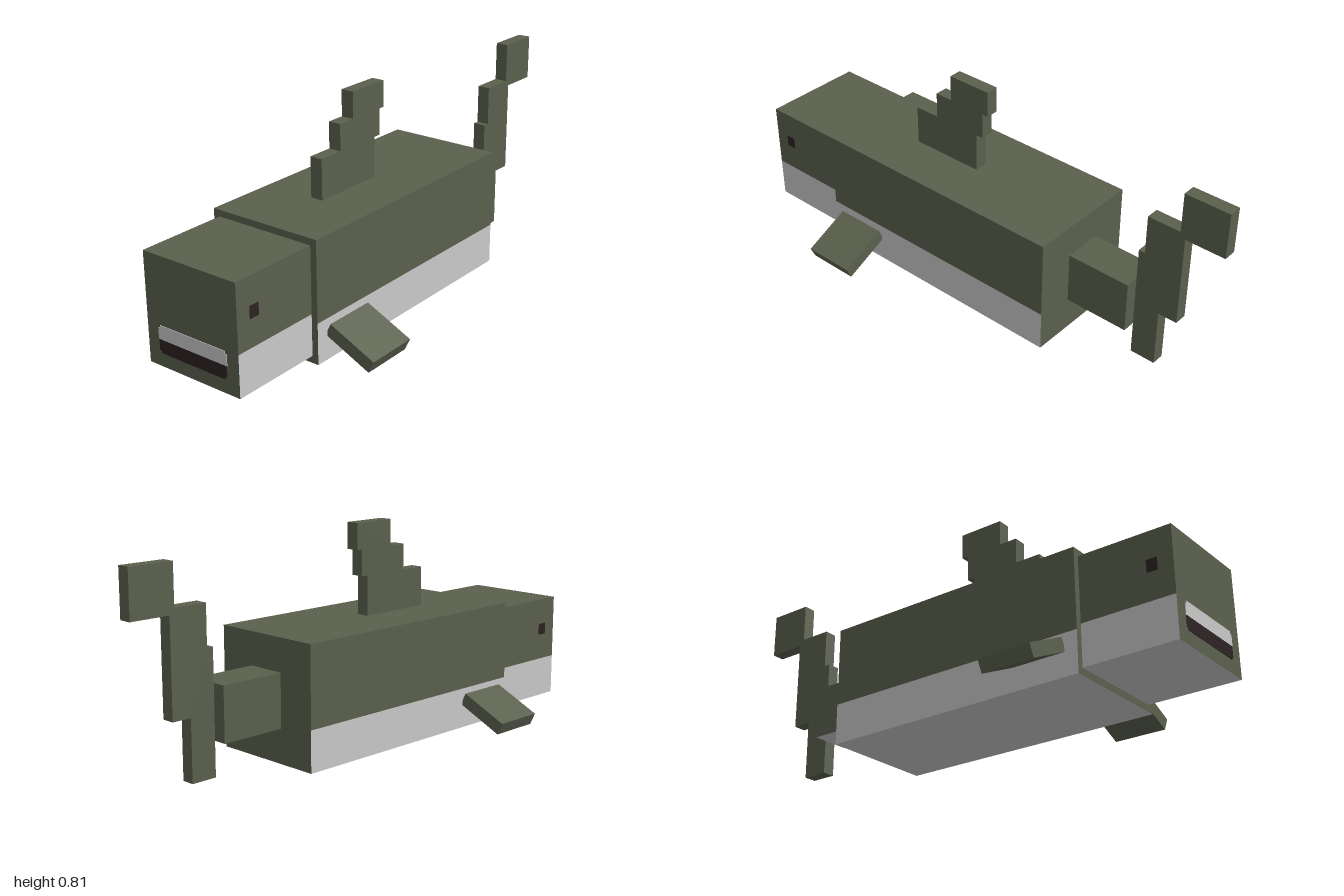
import * as THREE from 'three';

const mat = (name, color) => {
  const m = new THREE.MeshStandardMaterial({ color });
  m.name = name;
  return m;
};

export function createModel() {
  const olive = mat('olive skin', 0x5b604d);
  const pale = mat('pale belly', 0xcacaca);
  const dark = mat('dark mouth and eyes', 0x2d2223);
  const model = new THREE.Group();
  model.name = 'blockFish';

  const add = (name, geometry, material, parent = model) => {
    const mesh = new THREE.Mesh(geometry, material);
    mesh.name = name;
    parent.add(mesh);
    return mesh;
  };

  // Box centred on x = 0, given by its half width and its y and z ranges
  const block = (name, halfX, y0, y1, z0, z1, material, parent) => {
    const mesh = add(name, new THREE.BoxGeometry(halfX * 2, y1 - y0, z1 - z0), material, parent);
    mesh.position.set(0, (y0 + y1) / 2, (z0 + z1) / 2);
    return mesh;
  };

  // Face order: +x, -x, top, bottom, front, back
  const bellyFaces = [pale, pale, pale, pale, olive, olive];
  const stubFaces = [olive, olive, olive, pale, olive, olive];

  // Body and head, each an olive back over a pale belly
  const twoTone = (name, halfX, y0, ySplit, y1, z0, z1) => {
    const group = new THREE.Group();
    group.name = name;
    model.add(group);
    block(name + 'Back', halfX, ySplit, y1, z0, z1, olive, group);
    block(name + 'Belly', halfX, y0, ySplit, z0, z1, bellyFaces, group);
  };
  twoTone('body', 0.228, 0, 0.155, 0.457, -0.415, 0.645);
  twoTone('head', 0.203, 0.027, 0.183, 0.432, 0.645, 0.998);
  block('tailStub', 0.076, 0.13, 0.332, -0.67, -0.415, stubFaces);

  // Stepped upright fins, outlined as [z, y] and extruded across x
  const uprightFin = (name, outline) => {
    const shape = new THREE.Shape(outline.map(([z, y]) => new THREE.Vector2(-z, y)));
    const geometry = new THREE.ExtrudeGeometry(shape, { depth: 0.05, bevelEnabled: false });
    geometry.translate(0, 0, -0.025).rotateY(Math.PI / 2);
    add(name, geometry, olive);
  };
  uprightFin('dorsalFin', [
    [0.368, 0.45], [0.07, 0.45], [0.07, 0.61], [0.04, 0.61], [0.04, 0.71], [0.015, 0.71],
    [0.015, 0.81], [0.193, 0.81], [0.193, 0.71], [0.265, 0.71], [0.265, 0.61], [0.368, 0.61],
  ]);
  uprightFin('tailFin', [
    [-0.67, 0], [-0.77, 0], [-0.77, 0.23], [-0.845, 0.23], [-0.845, 0.587], [-1, 0.587],
    [-1, 0.763], [-0.825, 0.763], [-0.825, 0.61], [-0.695, 0.61], [-0.695, 0.457], [-0.67, 0.457],
  ]);

  // Mouth: pale upper teeth over a dark opening, with notched corners
  const mouthPlate = (name, halfX, y0, y1, material) =>
    block(name, halfX, y0, y1, 0.997, 1, material);
  mouthPlate('upperTeethEdge', 0.145, 0.17, 0.18, pale);
  mouthPlate('upperTeeth', 0.153, 0.128, 0.17, pale);
  mouthPlate('mouthOpening', 0.151, 0.087, 0.128, dark);
  mouthPlate('mouthOpeningEdge', 0.142, 0.078, 0.087, dark);

  // Mirrored eyes and drooping side fins
  for (const side of [1, -1]) {
    const label = side > 0 ? 'left' : 'right';
    const eye = add(label + 'Eye', new THREE.BoxGeometry(0.004, 0.045, 0.04), dark);
    eye.position.set(side * 0.203, 0.308, 0.92);
    const fin = add(label + 'Fin', new THREE.BoxGeometry(0.2, 0.05, 0.204), olive);
    fin.position.set(side * 0.321, 0.072, 0.492);
    fin.rotation.z = -side * 0.436;
  }
  return model;
}
